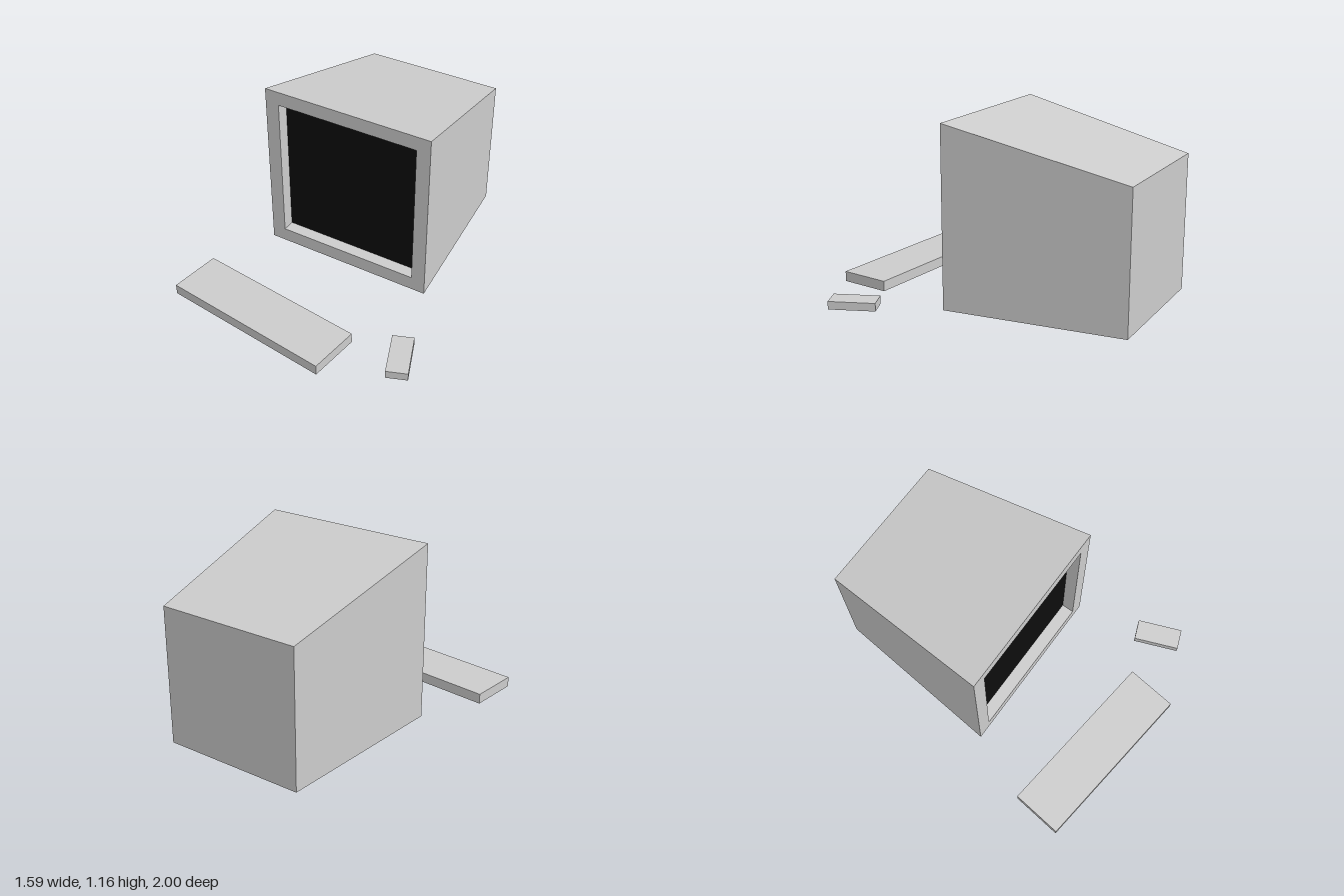
import * as THREE from 'three';

// Rectangular cross-section, counter-clockwise seen from the front
const ring = (x0, x1, y0, y1, z) => [[x0, y0, z], [x1, y0, z], [x1, y1, z], [x0, y1, z]];

// Flat-faced skin running through successive rings, closed at the first one
function loft(rings) {
  const pos = [];
  const quad = (a, b, c, d) => pos.push(...a, ...b, ...c, ...a, ...c, ...d);
  const [p, q, r, s] = rings[0];
  quad(p, s, r, q);
  for (let k = 1; k < rings.length; k++) {
    for (let i = 0; i < 4; i++) {
      const j = (i + 1) % 4;
      quad(rings[k - 1][i], rings[k - 1][j], rings[k][j], rings[k][i]);
    }
  }
  const geometry = new THREE.BufferGeometry();
  geometry.setAttribute('position', new THREE.Float32BufferAttribute(pos, 3));
  geometry.computeVertexNormals();
  return geometry;
}

export function createModel() {
  const model = new THREE.Group();
  model.name = 'desktopComputer';

  const casing = new THREE.MeshStandardMaterial({ color: 0xcccccc });
  casing.name = 'light grey casing';
  const glass = new THREE.MeshStandardMaterial({ color: 0x0d0d0d });
  glass.name = 'black screen';

  const add = (name, geometry, material, x = 0, y = 0, z = 0, turn = 0) => {
    const mesh = new THREE.Mesh(geometry, material);
    mesh.name = name;
    mesh.position.set(x, y, z);
    mesh.rotation.y = turn;
    model.add(mesh);
  };

  // Monitor casing: tapered back, front bezel, then the walls of the screen recess
  const front = 0.12, recess = 0.04;
  add('monitorCasing', loft([
    ring(-0.475, 0.435, 0.04, 0.905, -1),
    ring(-0.58, 0.54, 0.04, 1.16, front),
    ring(-0.488, 0.45, 0.13, 1.07, front),
    ring(-0.488, 0.45, 0.13, 1.07, recess),
  ]), casing);

  // Screen at the bottom of the recess
  add('screen', new THREE.PlaneGeometry(0.938, 0.94), glass, -0.019, 0.6, recess);

  // Keyboard and mouse, each turned slightly on the desk
  add('keyboard', new THREE.BoxGeometry(1.122, 0.066, 0.328), casing, -0.22, 0.033, 0.768, -0.116);
  add('mouse', new THREE.BoxGeometry(0.132, 0.051, 0.291), casing, 0.676, 0.035, 0.664, 0.375);

  return model;
}
